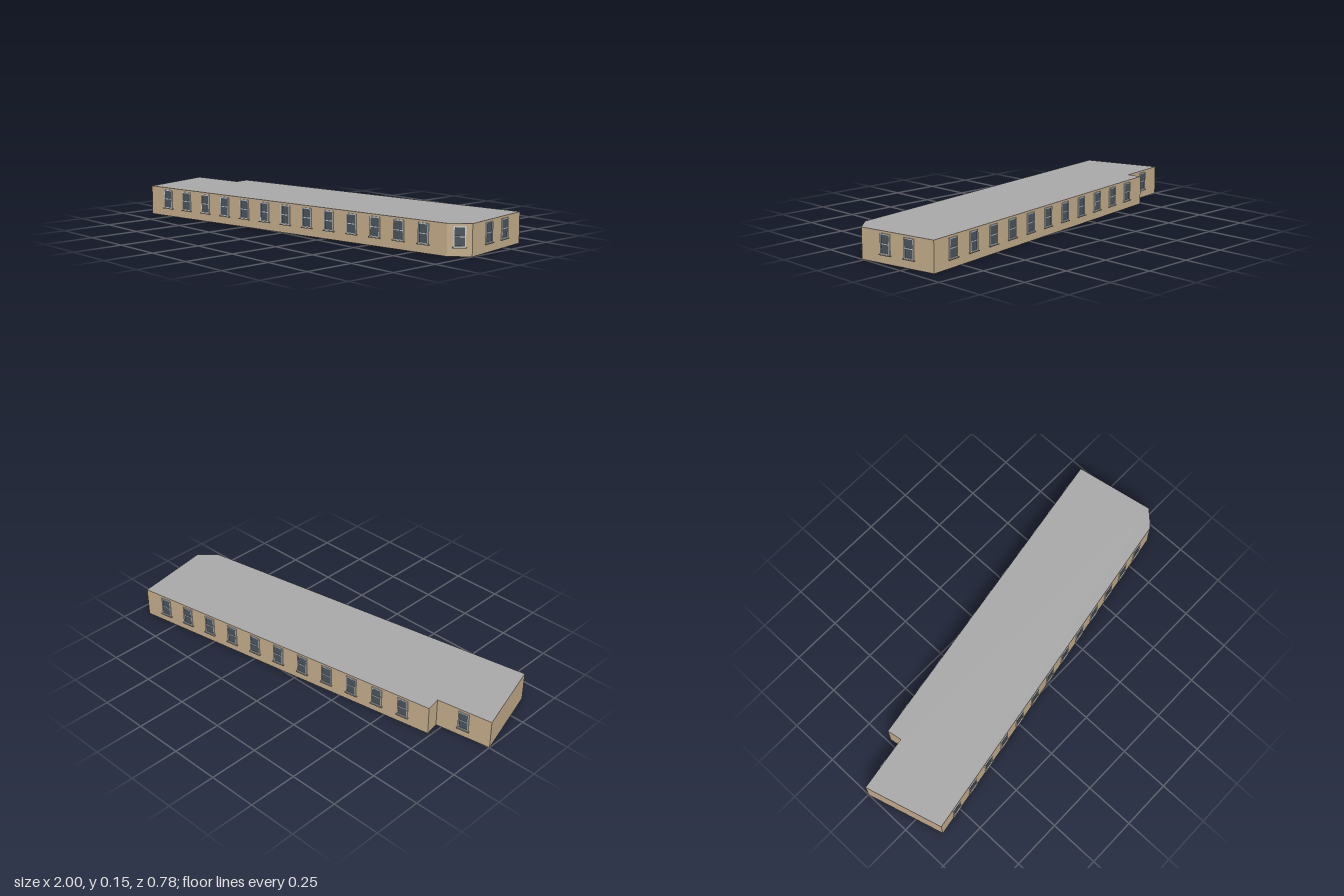
import * as THREE from 'three';

const material = (name, color) => Object.assign(new THREE.MeshStandardMaterial({ color }), { name });

const HEIGHT = 0.147;
// Footprint corners as [x, z], running along the front first
const CORNERS = [
  [-0.89, 0.39], [0.92, 0.09], [1, 0.014], [0.93, -0.39],
  [-0.735, -0.117], [-0.722, -0.043], [-1, 0.002],
];
// Windows per wall: wall index, count, first and last position along the wall
const WINDOWS = [
  [0, 13, 0.066, 0.933],
  [1, 1, 0.5, 0.5],
  [2, 2, 0.337, 0.666],
  [3, 11, 0.075, 0.918],
  [5, 1, 0.5, 0.5],
];

export function createModel() {
  const wallMat = material('tan wall', 0xc4ad8b);
  const roofMat = material('grey roof', 0xa8a8a8);
  const frameMat = material('pale frame', 0xc8cdd0);
  const sillMat = material('stone sill', 0xa09c92);
  const glassMat = material('dark glass', 0x4a545e);

  const model = new THREE.Group();
  model.name = 'longBuilding';

  // Walls with flat roof and floor
  const plan = new THREE.Shape(CORNERS.map(([x, z]) => new THREE.Vector2(x, -z)));
  const bodyGeo = new THREE.ExtrudeGeometry(plan, { depth: HEIGHT, bevelEnabled: false });
  bodyGeo.rotateX(-Math.PI / 2);
  const body = new THREE.Mesh(bodyGeo, [roofMat, wallMat]);
  body.name = 'wallsAndRoof';
  model.add(body);

  // Window parts, standing on the wall plane and facing local +z
  const W = 0.055, BOTTOM = 0.042, TOP = 0.136, BAR = 0.005;
  const rect = (C, x, y0, y1) => {
    const s = new C();
    s.moveTo(-x, y0);
    s.lineTo(x, y0);
    s.lineTo(x, y1);
    s.lineTo(-x, y1);
    s.closePath();
    return s;
  };
  const frameShape = rect(THREE.Shape, W / 2, BOTTOM, TOP);
  frameShape.holes.push(rect(THREE.Path, W / 2 - BAR, BOTTOM + BAR, TOP - BAR));
  const mid = (BOTTOM + TOP) / 2;
  const parts = [
    ['windowFrame', new THREE.ExtrudeGeometry(frameShape, { depth: 0.005, bevelEnabled: false }), frameMat],
    ['windowGlass', new THREE.BoxGeometry(W - 2 * BAR, TOP - BOTTOM - 2 * BAR, 0.002).translate(0, mid, 0.001), glassMat],
    ['windowRail', new THREE.BoxGeometry(W - 2 * BAR, 0.004, 0.004).translate(0, mid, 0.002), frameMat],
    ['windowSill', new THREE.BoxGeometry(0.065, 0.004, 0.009).translate(0, BOTTOM - 0.002, 0.0045), sillMat],
  ];
  const makeWindow = () => {
    const win = new THREE.Group();
    win.name = 'window';
    for (const [name, geo, mat] of parts) {
      const mesh = new THREE.Mesh(geo, mat);
      mesh.name = name;
      win.add(mesh);
    }
    return win;
  };

  // Rows of windows along the walls
  for (const [wall, count, first, last] of WINDOWS) {
    const [ax, az] = CORNERS[wall];
    const [bx, bz] = CORNERS[wall + 1];
    for (let i = 0; i < count; i++) {
      const t = count > 1 ? first + ((last - first) * i) / (count - 1) : first;
      const win = makeWindow();
      win.position.set(ax + (bx - ax) * t, 0, az + (bz - az) * t);
      win.rotation.y = Math.atan2(az - bz, bx - ax);
      model.add(win);
    }
  }
  return model;
}
